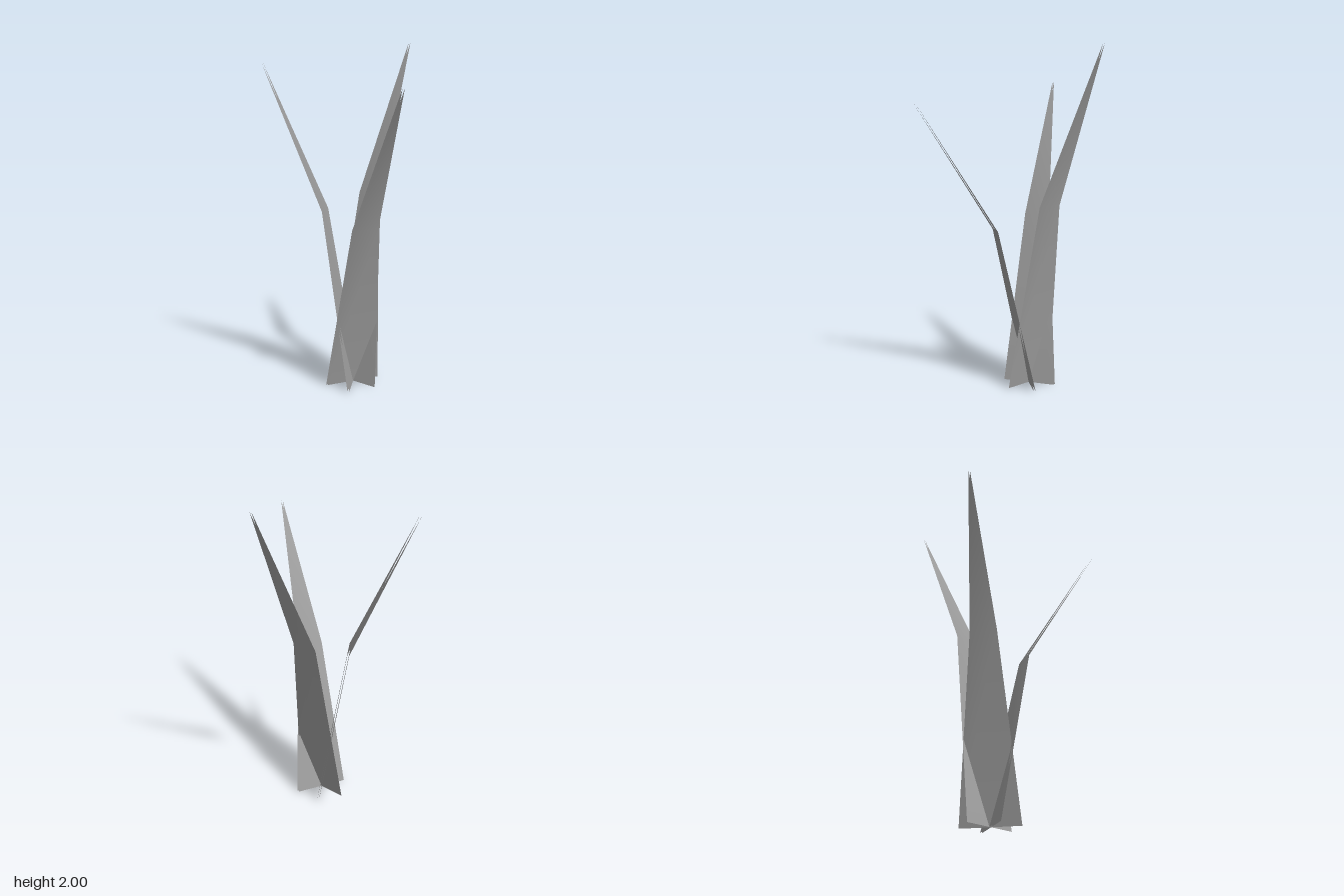
import * as THREE from 'three';

const GREY = new THREE.MeshStandardMaterial({ color: 0xa0a0a0, side: THREE.DoubleSide });
GREY.name = 'grey';

const CENTRE_X = -0.125, CENTRE_Z = -0.077;
const LAYER_GAP = 0.013;

// A blade leaning along +x: wide foot, narrower bend, pointed tip
function bladeGeometry({ height, bend, reach }) {
  const bendY = height * 0.555, foot = 0.16, waist = 0.072;
  const geometry = new THREE.BufferGeometry();
  geometry.setAttribute('position', new THREE.Float32BufferAttribute([
    0, 0, foot, 0, 0, -foot,
    bend, bendY, waist, bend, bendY, -waist,
    reach, height, 0,
  ], 3));
  geometry.setIndex([0, 1, 3, 0, 3, 2, 2, 3, 4]);
  geometry.computeVertexNormals();
  return geometry;
}

export function createModel() {
  const tuft = new THREE.Group();
  tuft.name = 'grassTuft';

  // Three blades fanned a third of a turn apart
  const blades = [
    { name: 'leftBlade', height: 2, bend: 0.18, reach: 0.588, turn: 0 },
    { name: 'backBlade', height: 1.86, bend: 0.152, reach: 0.498, turn: 1 },
    { name: 'frontBlade', height: 1.72, bend: 0.206, reach: 0.678, turn: 2 },
  ];

  for (const blade of blades) {
    const group = new THREE.Group();
    group.name = blade.name;
    const geometry = bladeGeometry(blade);
    // Each blade is two thin layers, one just in front of the other
    for (const side of [-1, 1]) {
      const layer = new THREE.Mesh(geometry, GREY);
      layer.name = blade.name + (side > 0 ? 'FrontLayer' : 'BackLayer');
      layer.rotation.y = blade.turn * Math.PI * 2 / 3;
      layer.position.set(CENTRE_X, 0, CENTRE_Z + side * LAYER_GAP / 2);
      group.add(layer);
    }
    tuft.add(group);
  }
  return tuft;
}
